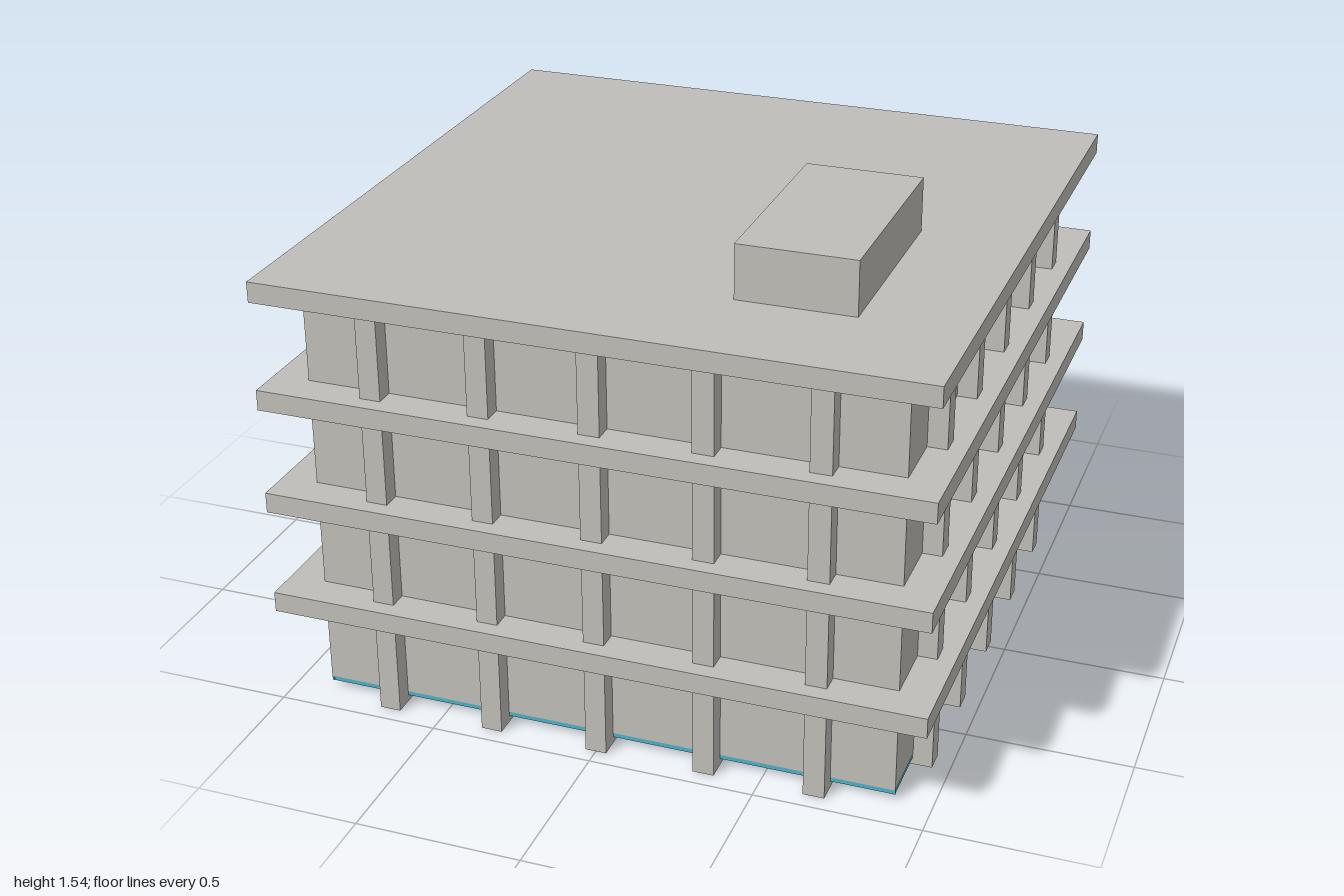
import * as THREE from 'three';

export function createModel() {
  const model = new THREE.Group();
  const concrete = new THREE.MeshStandardMaterial({ color: 0xc0beb9, side: THREE.DoubleSide });
  concrete.name = 'concrete grey';
  const glass = new THREE.MeshStandardMaterial({ color: 0x4fb0c6, side: THREE.DoubleSide });
  glass.name = 'teal glass';

  // Box given by its extents on each axis
  function box(name, [x0, x1], [y0, y1], [z0, z1], material, parent = model) {
    const geometry = new THREE.BoxGeometry(x1 - x0, y1 - y0, z1 - z0);
    const mesh = new THREE.Mesh(geometry, material);
    mesh.position.set((x0 + x1) / 2, (y0 + y1) / 2, (z0 + z1) / 2);
    mesh.name = name;
    parent.add(mesh);
    return mesh;
  }

  const W = 0.89; // half width of the enclosed block

  // Enclosed block, slightly raised above the ground
  box('walls', [-W, W], [0.034, 1.34], [-W, W], concrete);

  // Projecting floor slabs, the last one is the roof
  for (const y of [0.305, 0.64, 0.972, 1.308]) {
    box('floorSlab', [-1, 1], [y, y + 0.063], [-1, 1], concrete);
  }

  // Rooftop plant room
  box('roofHousing', [0.32, 0.675], [1.37, 1.537], [0, 0.66], concrete);

  // Deep hollow piers on all four sides, open at the foot
  for (let side = 0; side < 4; side++) {
    const facade = new THREE.Group();
    facade.name = 'pierRow';
    facade.rotation.y = side * Math.PI / 2;
    for (let i = -2; i <= 2; i++) {
      const x = i * 0.333;
      const pier = box('pier', [x - 0.032, x + 0.032], [0, 1.33], [0.635, 0.948], concrete, facade);
      // Keep the four upright faces and the top, drop the bottom face
      const index = Array.from(pier.geometry.index.array);
      index.splice(18, 6);
      pier.geometry.setIndex(index);
      pier.geometry.clearGroups();
    }
    // Lower edge of the glazing showing under the wall
    box('glazingEdge', [-W, W], [0.02, 0.034], [W - 0.007, W - 0.001], glass, facade);
    model.add(facade);
  }

  // Glass partition edge under the middle of the building
  box('glassPartition', [-0.004, 0.004], [0.005, 0.034], [-W, W], glass);

  return model;
}
